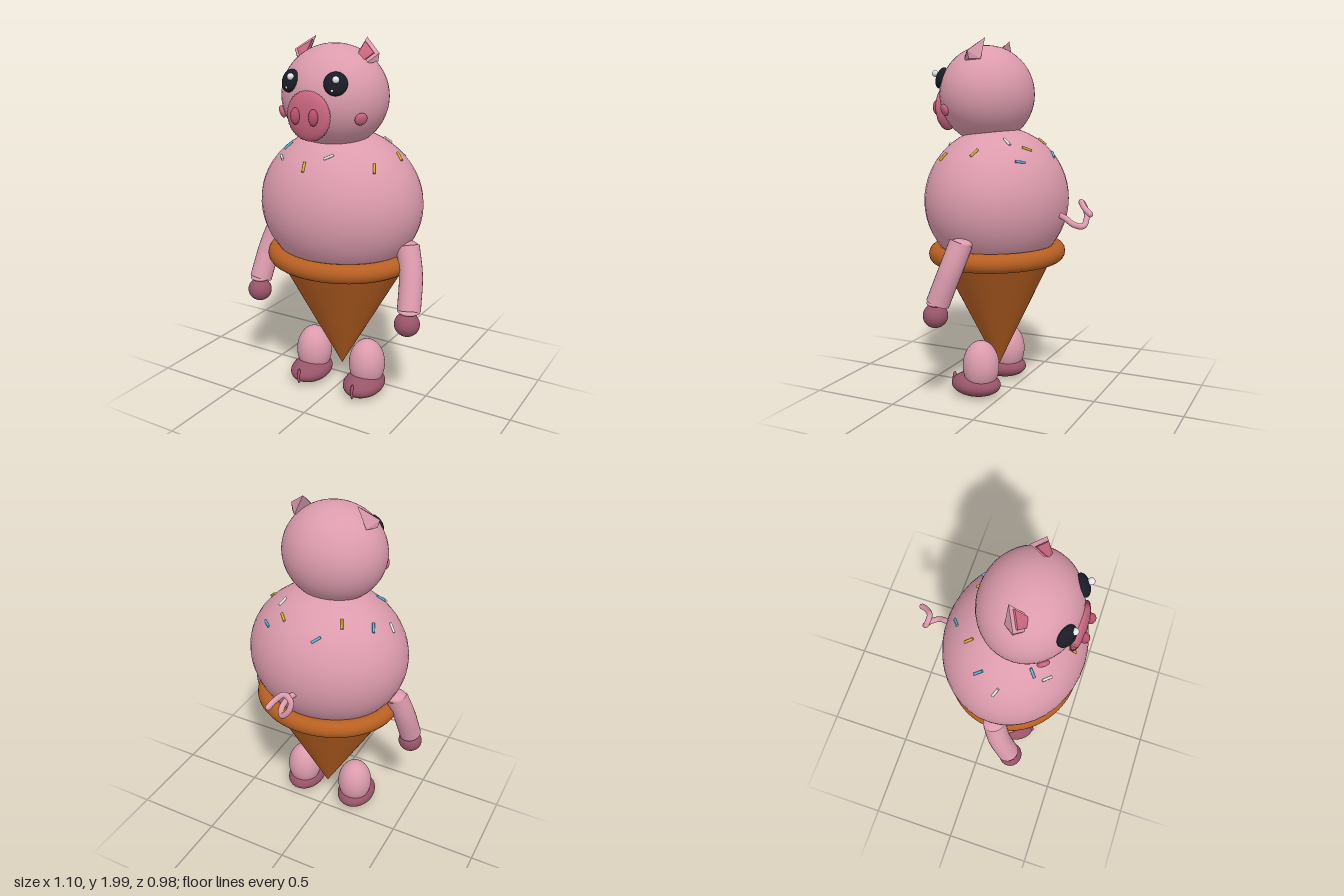
import * as THREE from 'three';
import { ConvexGeometry } from 'three/addons/geometries/ConvexGeometry.js';

const mat = (name, color) => {
  const m = new THREE.MeshStandardMaterial({ color });
  m.name = name;
  return m;
};
const V = (x, y, z) => new THREE.Vector3(x, y, z);

export function createModel() {
  const pink = mat('pink', 0xdc9bad);
  const hoofPink = mat('hoofPink', 0x985468);
  const rose = mat('rose', 0xc9657f);
  const deepRose = mat('deepRose', 0xb8506b);
  const waffle = mat('waffle', 0xb86022);
  const black = mat('black', 0x1a1c26);
  const white = mat('white', 0xe6e6e6);
  const yellow = mat('yellow', 0xd9b026);
  const blue = mat('blue', 0x55b4dc);

  const model = new THREE.Group();
  model.name = 'pigCone';

  const add = (name, geo, material, pos = [0, 0, 0], scale = [1, 1, 1]) => {
    const m = new THREE.Mesh(geo, material);
    m.name = name;
    m.position.set(...pos);
    m.scale.set(...scale);
    model.add(m);
    return m;
  };
  const ball = new THREE.SphereGeometry(1, 40, 28);
  const blob = (name, material, pos, radii) => add(name, ball, material, pos, radii);

  // Outward normal of an ellipsoid at a point
  const normalAt = (p, c, r) =>
    V((p.x - c[0]) / r[0] ** 2, (p.y - c[1]) / r[1] ** 2, (p.z - c[2]) / r[2] ** 2).normalize();

  // Body scoop and head
  const bodyC = [0, 1.11, 0.092], bodyR = [0.46, 0.41, 0.395];
  const headC = [0, 1.695, 0.153], headR = [0.29, 0.27, 0.26];
  blob('body', pink, bodyC, bodyR);
  blob('head', pink, headC, headR);

  // Scoop skirt sitting inside the rim
  add('scoopSkirt', new THREE.CylinderGeometry(1, 1, 0.1, 48), pink, [0, 0.86, 0.092], [0.355, 1, 0.305]);

  // Cone and its rolled rim
  add('cone', new THREE.ConeGeometry(1, 0.7, 64), waffle, [0, 0.475, 0.092], [0.402, -1, 0.325])
    .scale.y = 1;
  model.getObjectByName('cone').rotation.x = Math.PI;
  const rim = new THREE.TorusGeometry(0.374, 0.052, 16, 64);
  rim.rotateX(Math.PI / 2);
  add('coneRim', rim, waffle, [0, 0.812, 0.092], [1, 1, 0.89]);

  // Snout: flattened ball with a finely ridged edge
  const snoutGeo = new THREE.SphereGeometry(1, 96, 24);
  snoutGeo.rotateX(Math.PI / 2);
  const sp = snoutGeo.attributes.position;
  for (let i = 0; i < sp.count; i++) {
    const x = sp.getX(i), y = sp.getY(i);
    const k = 1 + 0.02 * Math.hypot(x, y) ** 8 * Math.cos(48 * Math.atan2(y, x));
    sp.setXY(i, x * k, y * k);
  }
  snoutGeo.computeVertexNormals();
  add('snout', snoutGeo, rose, [0, 1.623, 0.407], [0.126, 0.126, 0.038]);

  // Tail: a loose curl
  const tailPath = new THREE.CatmullRomCurve3([
    V(0, 1.045, -0.27), V(0.03, 1.03, -0.33), V(0.038, 1.0, -0.38), V(0.01, 0.99, -0.425),
    V(-0.035, 1.04, -0.43), V(-0.04, 1.09, -0.415), V(0, 1.12, -0.41),
    V(0.04, 1.09, -0.445), V(0.058, 1.065, -0.48),
  ]);
  add('tail', new THREE.TubeGeometry(tailPath, 64, 0.016, 12), pink);
  blob('tailTip', pink, [0.058, 1.065, -0.48], [0.016, 0.016, 0.016]);

  for (const s of [1, -1]) {
    const side = s > 0 ? 'left' : 'right';

    // Eye, lying on the head surface, with two glints
    const eye = blob(side + 'Eye', black, [s * 0.134, 1.786, 0.367], [0.06, 0.06, 0.032]);
    eye.lookAt(eye.position.clone().add(normalAt(eye.position, headC, headR)));
    blob(side + 'EyeGlint', white, [s * 0.132 + 0.022, 1.81, 0.398], [0.018, 0.018, 0.018]);
    blob(side + 'EyeSmallGlint', white, [s * 0.132 + 0.002, 1.757, 0.4], [0.008, 0.008, 0.008]);

    // Nostril and cheek
    blob(side + 'Nostril', deepRose, [s * 0.053, 1.625, 0.447], [0.024, 0.042, 0.025]);
    const cheek = blob(side + 'Cheek', rose, [s * 0.236, 1.612, 0.296], [0.033, 0.033, 0.016]);
    cheek.lookAt(cheek.position.clone().add(normalAt(cheek.position, headC, headR)));

    // Ear: pointed wedge with a darker inner face
    const tip = V(s * 0.153, 1.995, 0.09), outer = V(s * 0.254, 1.922, 0.145);
    const front = V(s * 0.198, 1.868, 0.195), inner = V(s * 0.143, 1.905, 0.19);
    const back = V(s * 0.205, 1.88, 0.09);
    add(side + 'Ear', new ConvexGeometry([tip, outer, front, inner, back, V(s * 0.245, 1.88, 0.14)]), pink);
    const mid = tip.clone().add(outer).add(front).add(inner).multiplyScalar(0.25);
    const innerPts = [];
    for (const p of [tip, outer, front, inner]) {
      const q = p.clone().lerp(mid, 0.3).add(V(-s * 0.004, 0.002, 0.012));
      innerPts.push(q, q.clone().add(V(0, -0.004, -0.012)));
    }
    add(side + 'InnerEar', new ConvexGeometry(innerPts), rose);

    // Arm and hand
    const armPath = new THREE.CatmullRomCurve3([
      V(s * 0.415, 0.925, 0.105), V(s * 0.458, 0.78, 0.148), V(s * 0.482, 0.605, 0.212),
    ]);
    add(side + 'Arm', new THREE.TubeGeometry(armPath, 24, 0.063, 24), pink);
    blob(side + 'Shoulder', pink, [s * 0.415, 0.92, 0.105], [0.061, 0.03, 0.061]);
    blob(side + 'Wrist', pink, [s * 0.482, 0.608, 0.21], [0.061, 0.02, 0.061]);
    blob(side + 'Hand', hoofPink, [s * 0.48, 0.537, 0.228], [0.069, 0.066, 0.066]);

    // Leg, foot and hoof split
    blob(side + 'Leg', pink, [s * 0.178, 0.18, 0.114], [0.103, 0.145, 0.103]);
    blob(side + 'Foot', hoofPink, [s * 0.178, 0.07, 0.146], [0.112, 0.067, 0.146]);
    blob(side + 'HoofSplit', deepRose, [s * 0.178, 0.075, 0.283], [0.009, 0.046, 0.015]);
  }

  // Sprinkles laid on the scoop: material, x, z, direction in x and z
  const sprinkleGeo = new THREE.CylinderGeometry(0.007, 0.007, 0.055, 10);
  const sprinkles = [
    [blue, -0.08, -0.21, 4, -3], [yellow, -0.175, -0.105, 2, 4], [blue, -0.31, -0.01, 2, 4],
    [white, -0.37, 0.1, 4, 2.5], [white, -0.225, 0.325, 3, 3], [yellow, 0.147, -0.15, 4, 4],
    [blue, 0.245, -0.155, 4, 3.5], [white, 0.2, -0.06, 2, -4], [yellow, 0.335, 0.065, 4, 2.5],
    [yellow, 0.297, 0.27, 2, 3.5], [yellow, -0.035, 0.405, 1, 4], [white, 0.08, 0.35, 4, -3],
    [blue, -0.235, 0.25, 3, -3],
  ];
  for (const [m, x, z, dx, dz] of sprinkles) {
    const h = 1 - (x / bodyR[0]) ** 2 - ((z - bodyC[2]) / bodyR[2]) ** 2;
    const p = V(x, bodyC[1] + bodyR[1] * Math.sqrt(h), z);
    const n = normalAt(p, bodyC, bodyR);
    const dir = V(dx, -(n.x * dx + n.z * dz) / n.y, dz).normalize();
    const sprinkle = add('sprinkle', sprinkleGeo, m, p.addScaledVector(n, 0.003).toArray());
    sprinkle.quaternion.setFromUnitVectors(V(0, 1, 0), dir);
  }
  return model;
}
